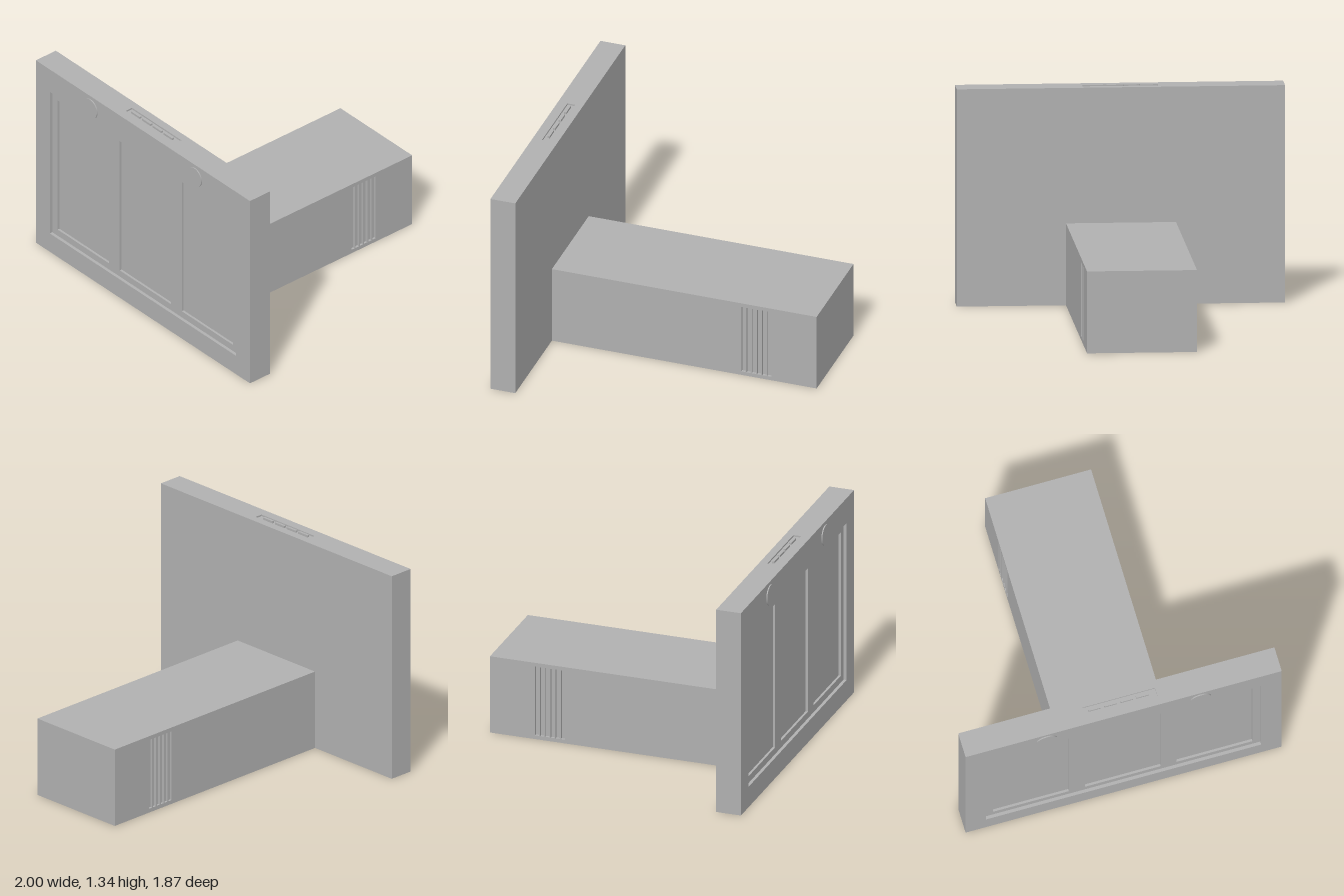
import * as THREE from 'three';

const metal = new THREE.MeshStandardMaterial({ color: 0xb0b0b0 });
metal.name = 'brushed grey';

// Points of a rectangle, from its low corner to its high corner
const rect = (x0, y0, x1, y1) => [[x0, y0], [x1, y0], [x1, y1], [x0, y1]]
  .map(([x, y]) => new THREE.Vector2(x, y));

// Flat plate with rectangular openings, extruded along +z
function plate(outer, openings, depth) {
  const shape = new THREE.Shape(rect(...outer));
  for (const o of openings) shape.holes.push(new THREE.Path(rect(...o)));
  return new THREE.ExtrudeGeometry(shape, { depth, bevelEnabled: false });
}

// Box given by its low and high corners
function box(x0, y0, z0, x1, y1, z1) {
  return new THREE.BoxGeometry(x1 - x0, y1 - y0, z1 - z0)
    .translate((x0 + x1) / 2, (y0 + y1) / 2, (z0 + z1) / 2);
}

export function createModel() {
  const model = new THREE.Group();
  model.name = 'extractorHood';
  const add = (name, geometry) => {
    const mesh = new THREE.Mesh(geometry, metal);
    mesh.name = name;
    model.add(mesh);
  };

  // Hood slab: core, filter layer with three pockets, front rim, top cap
  const back = 0.77, front = 0.93, top = 1.34, capDepth = 0.01;
  const bodyTop = top - capDepth;
  add('hoodBody', box(-1, 0, back, 1, bodyTop, 0.895));
  const pockets = [-0.58, 0, 0.58].map((x) => [x - 0.24, 0.18, x + 0.24, 1.13]);
  add('filterPanel', plate([-1, 0, 1, bodyTop], pockets, 0.015).translate(0, 0, 0.895));
  add('frontRim', plate([-1, 0, 1, bodyTop], [[-0.87, 0.135, 0.87, 1.175]], 0.02)
    .translate(0, 0, 0.91));
  add('topCap', plate([-1, -front, 1, -back], [[-0.23, -0.87, 0.23, -0.82]], capDepth)
    .rotateX(-Math.PI / 2).translate(0, bodyTop, 0));

  // Control buttons in the top recess
  for (let i = 0; i < 4; i++) {
    const x = -0.2 + i * 0.101;
    add('controlButton', box(x, bodyTop, 0.838, x + 0.08, top + 0.004, 0.853));
  }

  // Round lamps above the filters
  for (const side of [-1, 1]) {
    add('lamp', new THREE.CylinderGeometry(0.065, 0.065, 0.008, 40)
      .rotateX(Math.PI / 2).translate(side * 0.487, 1.253, front + 0.003));
  }

  // Duct with slotted side walls
  const half = 0.335, wall = 0.015, end = -0.937, height = 0.505;
  add('ductCore', box(-half + wall, 0, end, half - wall, height, back));
  const slots = [];
  for (let i = 0; i < 6; i++) {
    const u = 0.452 + i * 0.0335;
    slots.push([u, 0.025, u + 0.026, 0.48]);
  }
  for (const x of [-half, half - wall]) {
    add('ductSide', plate([-back, 0, -end, height], slots, wall)
      .rotateY(Math.PI / 2).translate(x, 0, 0));
  }
  return model;
}
